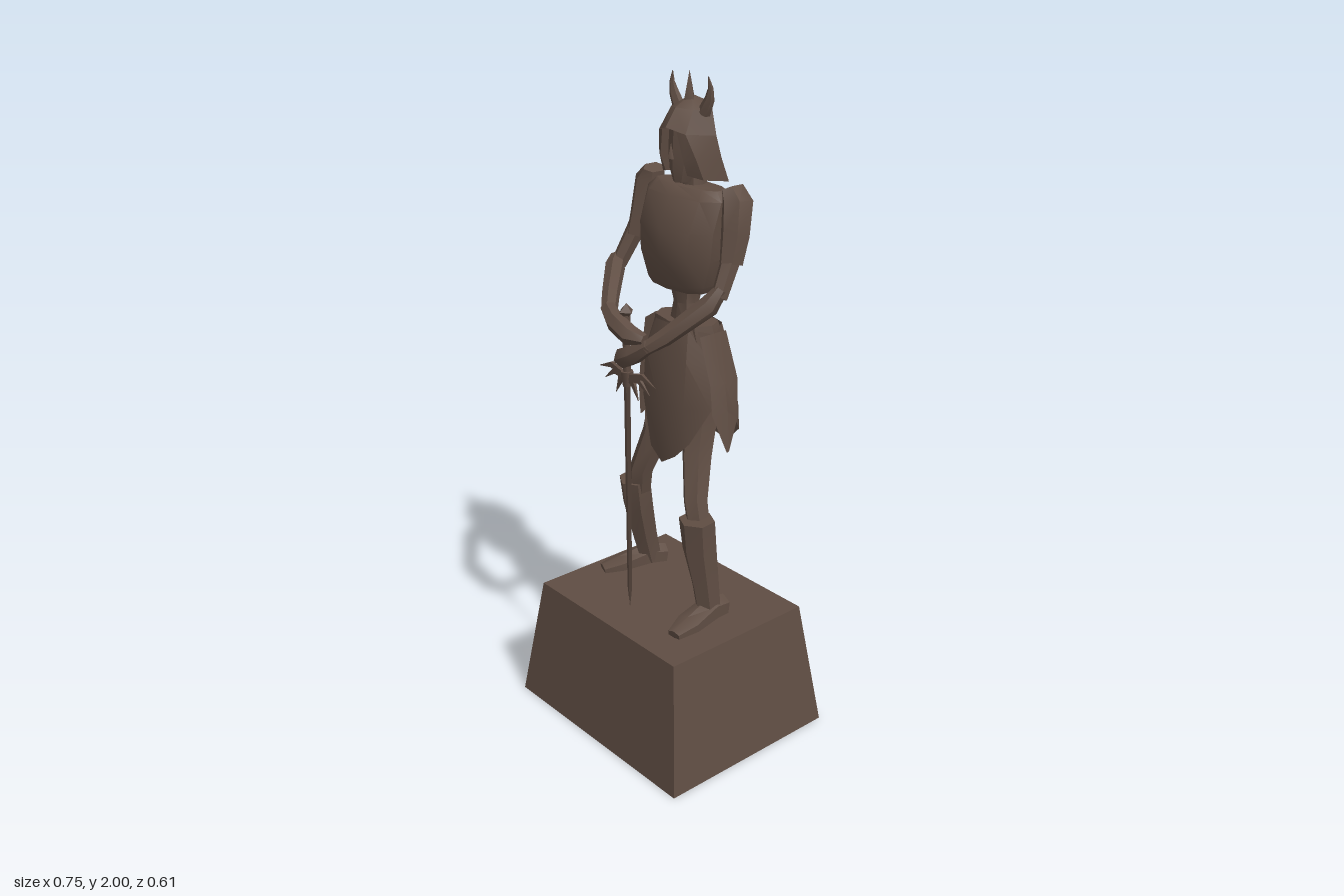
import * as THREE from 'three';
import { toCreasedNormals } from 'three/addons/utils/BufferGeometryUtils.js';

const bronze = new THREE.MeshStandardMaterial({ color: 0x5f4d43, side: THREE.DoubleSide });
bronze.name = 'dark bronze';

// Skin rows of points; closed rows wrap round, caps fill the two ends.
function loft(rows, closed = true, caps = [closed, closed], crease = 0.7) {
  const n = rows[0].length, pos = [];
  const tri = (a, b, c) => pos.push(...a, ...b, ...c);
  for (let r = 0; r < rows.length - 1; r++) {
    for (let i = 0; i < (closed ? n : n - 1); i++) {
      const j = (i + 1) % n, p = rows[r], q = rows[r + 1];
      tri(p[i], q[i], q[j]);
      tri(p[i], q[j], p[j]);
    }
  }
  [rows[0], rows[rows.length - 1]].forEach((row, k) => {
    if (!caps[k]) return;
    for (let i = 1; i < n - 1; i++) k ? tri(row[0], row[i + 1], row[i]) : tri(row[0], row[i], row[i + 1]);
  });
  const g = new THREE.BufferGeometry();
  g.setAttribute('position', new THREE.Float32BufferAttribute(pos, 3));
  return toCreasedNormals(g, crease);
}

// Horizontal oval ring: half width rx, depth from z0 (back) to z1 (front).
function oval(y, rx, z0, z1, n = 10, cx = 0, tilt = 0) {
  return Array.from({ length: n }, (_, i) => {
    const a = (i / n) * Math.PI * 2, s = Math.sin(a), c = Math.cos(a);
    return [cx + rx * Math.sign(s) * Math.abs(s) ** 0.75, y + tilt * c, (z0 + z1) / 2 + ((z1 - z0) / 2) * c];
  });
}

// Limb along points [x, y, z, radius across, radius deep].
function limb(pts, n = 6, ref = [0, 0, 1], floor = -1) {
  const v = pts.map(p => new THREE.Vector3(p[0], p[1], p[2]));
  return loft(pts.map((p, k) => {
    const t = v[Math.min(k + 1, v.length - 1)].clone().sub(v[Math.max(k - 1, 0)]).normalize();
    const u = t.clone().cross(new THREE.Vector3(...ref)).normalize();
    const w = t.clone().cross(u);
    return Array.from({ length: n }, (_, i) => {
      const a = ((i + 0.5) / n) * Math.PI * 2;
      const q = v[k].clone().addScaledVector(u, Math.cos(a) * p[3]).addScaledVector(w, Math.sin(a) * p[4]);
      return [q.x, Math.max(q.y, floor), q.z];
    });
  }));
}

const flip = rows => rows.map(r => r.map(([x, y, z]) => [-x, y, z]));
const mirrorRow = half => [...half.map(([x, y, z]) => [-x, y, z]).reverse(), ...half.slice(half[0][0] === 0 ? 1 : 0)];

export function createModel() {
  const model = new THREE.Group();
  const add = (name, geo, parent = model) => {
    const m = new THREE.Mesh(geo, bronze);
    m.name = name;
    parent.add(m);
    return m;
  };

  // Tapered pedestal, open underneath
  const rect = (y, x, z) => [[-x, y, z], [x, y, z], [x, y, -z], [-x, y, -z]];
  add('pedestal', loft([rect(0.4, 0.315, 0.255), rect(0, 0.375, 0.305)], true, [true, false], 0.2));

  // Torso armour, waist, pelvis and neck
  add('breastplate', loft([
    oval(1.69, 0.13, -0.125, -0.03), oval(1.665, 0.16, -0.155, 0.0), oval(1.58, 0.155, -0.155, 0.038),
    oval(1.5, 0.148, -0.15, 0.04), oval(1.42, 0.122, -0.115, 0.022), oval(1.4, 0.11, -0.105, 0.01),
  ]));
  add('waist', loft([oval(1.42, 0.055, -0.11, -0.02, 8), oval(1.35, 0.036, -0.1, -0.03, 8), oval(1.27, 0.055, -0.115, -0.02, 8)]));
  add('pelvis', loft([oval(1.3, 0.11, -0.13, 0.0, 8), oval(1.24, 0.125, -0.15, 0.0, 8), oval(1.08, 0.12, -0.14, 0.0, 8), oval(0.98, 0.06, -0.1, -0.02, 8)]));
  add('neck', loft([oval(1.78, 0.032, -0.12, -0.06, 8), oval(1.66, 0.04, -0.125, -0.05, 8)]));

  // Skirt: front and back shield-shaped panels, each defined by its half
  const frontRows = [
    [[0, 1.295, 0.0], [0.07, 1.29, -0.01], [0.13, 1.28, -0.06]],
    [[0, 1.2, 0.025], [0.09, 1.2, 0.015], [0.145, 1.18, -0.05]],
    [[0, 1.06, 0.042], [0.09, 1.06, 0.025], [0.15, 1.06, -0.03]],
    [[0, 0.865, 0.03], [0.055, 0.9, 0.025], [0.1, 0.95, 0.01]],
  ].map(mirrorRow);
  const backRows = [
    [[0, 1.29, -0.15], [0.07, 1.285, -0.14], [0.13, 1.28, -0.06]],
    [[0, 1.16, -0.178], [0.09, 1.16, -0.165], [0.15, 1.16, -0.085]],
    [[0, 1.02, -0.2], [0.1, 1.02, -0.185], [0.16, 1.03, -0.11]],
    [[0, 0.88, -0.212], [0.05, 0.9, -0.207], [0.11, 0.95, -0.18]],
  ].map(mirrorRow);
  add('skirtFront', loft(frontRows, false));
  add('skirtBack', loft(backRows, false));
  const flapRows = [
    [[0.12, 1.28, -0.01], [0.13, 1.285, -0.06], [0.12, 1.28, -0.11]],
    [[0.155, 1.14, -0.02], [0.168, 1.14, -0.065], [0.15, 1.14, -0.13]],
    [[0.165, 1.05, -0.02], [0.187, 1.06, -0.06], [0.165, 1.02, -0.12]],
    [[0.195, 0.94, -0.05], [0.196, 0.938, -0.055], [0.195, 0.94, -0.06]],
  ];
  add('leftSkirtFlap', loft(flapRows, false));
  add('rightSkirtFlap', loft(flip(flapRows), false));

  // Legs: the right one stands further back with the foot turned out
  const legs = {
    left: {
      thigh: [[0.075, 1.05, -0.06, 0.05, 0.06], [0.09, 0.9, -0.03, 0.042, 0.05], [0.13, 0.78, 0.01, 0.035, 0.04], [0.15, 0.7, 0.015, 0.035, 0.035]],
      greave: [[0.158, 0.735, 0.03, 0.06, 0.05], [0.162, 0.64, 0.022, 0.054, 0.052], [0.178, 0.52, 0.01, 0.04, 0.045], [0.184, 0.42, 0.0, 0.036, 0.04]],
      foot: [[0.18, 0.425, -0.055, 0.035, 0.035], [0.186, 0.435, 0.0, 0.04, 0.04], [0.193, 0.42, 0.09, 0.045, 0.025], [0.2, 0.41, 0.155, 0.025, 0.014]],
    },
    right: {
      thigh: [[-0.085, 1.05, -0.07, 0.05, 0.06], [-0.12, 0.9, -0.05, 0.04, 0.05], [-0.15, 0.78, -0.015, 0.035, 0.04], [-0.17, 0.7, -0.025, 0.035, 0.035]],
      greave: [[-0.183, 0.735, -0.015, 0.052, 0.05], [-0.186, 0.64, -0.03, 0.05, 0.05], [-0.196, 0.52, -0.065, 0.038, 0.045], [-0.195, 0.42, -0.09, 0.033, 0.04]],
      foot: [[-0.185, 0.425, -0.135, 0.034, 0.034], [-0.2, 0.435, -0.08, 0.038, 0.038], [-0.232, 0.42, 0.01, 0.042, 0.024], [-0.252, 0.41, 0.065, 0.026, 0.014]],
    },
  };
  for (const [side, leg] of Object.entries(legs)) {
    add(side + 'Thigh', limb(leg.thigh));
    add(side + 'Greave', limb(leg.greave));
    add(side + 'Foot', limb(leg.foot, 6, [0, 1, 0], 0.4));
  }

  // Arms meet in front, the right hand above the left
  const arms = {
    left: {
      upper: [[0.185, 1.62, -0.085, 0.03, 0.03], [0.2, 1.52, -0.05, 0.027, 0.03], [0.207, 1.42, 0.0, 0.023, 0.025]],
      fore: [[0.212, 1.445, -0.005, 0.018, 0.02], [0.195, 1.4, 0.025, 0.03, 0.03], [0.12, 1.31, 0.12, 0.025, 0.025], [0.08, 1.275, 0.155, 0.02, 0.022]],
      hand: [[0.09, 1.285, 0.15, 0.02, 0.022], [0.04, 1.25, 0.165, 0.03, 0.03], [0.0, 1.23, 0.165, 0.032, 0.035], [-0.03, 1.215, 0.16, 0.018, 0.02]],
    },
    right: {
      upper: [[-0.185, 1.62, -0.085, 0.03, 0.03], [-0.21, 1.52, -0.05, 0.027, 0.03], [-0.23, 1.42, 0.0, 0.023, 0.025]],
      fore: [[-0.242, 1.44, -0.005, 0.018, 0.02], [-0.22, 1.42, 0.02, 0.028, 0.03], [-0.13, 1.37, 0.11, 0.025, 0.026], [-0.08, 1.345, 0.155, 0.02, 0.024]],
      hand: [[-0.09, 1.35, 0.15, 0.022, 0.024], [-0.035, 1.33, 0.172, 0.03, 0.028], [0.03, 1.305, 0.172, 0.03, 0.03], [0.075, 1.3, 0.155, 0.015, 0.02]],
    },
  };
  for (const [side, arm] of Object.entries(arms)) {
    const s = side === 'left' ? 1 : -1;
    add(side + 'UpperArm', limb(arm.upper));
    add(side + 'Forearm', limb(arm.fore));
    add(side + 'Hand', limb(arm.hand));
    add(side + 'Pauldron', limb([[s * 0.165, 1.705, -0.085, 0.022, 0.04], [s * 0.185, 1.67, -0.085, 0.04, 0.05],
      [s * 0.193, 1.58, -0.07, 0.038, 0.045], [s * 0.2, 1.505, -0.05, 0.03, 0.038]]));
  }

  // Head: open-faced helmet with a flared neck guard
  const helmet = new THREE.Group();
  helmet.name = 'helmet';
  model.add(helmet);
  const dome = [
    [[0, 1.935, -0.08], [0, 1.935, -0.08], [0, 1.935, -0.08], [0, 1.935, -0.08]],
    [[0, 1.905, -0.022], [0.045, 1.9, -0.045], [0.062, 1.9, -0.1], [0, 1.91, -0.14]],
    [[0, 1.855, 0.014], [0.055, 1.84, -0.01], [0.08, 1.83, -0.1], [0, 1.82, -0.168]],
  ].map(([f, a, b, r]) => [f, a, b, r, [-b[0], b[1], b[2]], [-a[0], a[1], a[2]]]);
  add('dome', loft(dome, true, [false, false]), helmet);
  const guard = [
    [[0, 1.82, -0.168], [0.08, 1.83, -0.1], [0.055, 1.84, -0.01], [0.03, 1.845, 0.0]],
    [[0, 1.76, -0.175], [0.085, 1.77, -0.115], [0.078, 1.77, -0.03], [0.047, 1.77, -0.008]],
    [[0, 1.68, -0.19], [0.09, 1.7, -0.14], [0.085, 1.715, -0.05], [0.045, 1.725, -0.025]],
  ].map(mirrorRow);
  add('cheekAndNeckGuard', loft(guard, false), helmet);
  add('face', loft([oval(1.85, 0.045, -0.12, -0.015, 8), oval(1.79, 0.048, -0.12, -0.012, 8), oval(1.735, 0.036, -0.1, -0.012, 8), oval(1.7, 0.022, -0.08, -0.02, 8)]));
  const nose = new THREE.ConeGeometry(0.011, 0.045, 4);
  add('nose', nose.translate(0, 1.79, -0.006));
  for (const s of [-1, 1]) {
    add('horn', limb([[s * 0.05, 1.89, -0.08, 0.02, 0.018], [s * 0.073, 1.93, -0.08, 0.015, 0.013],
      [s * 0.079, 1.96, -0.078, 0.008, 0.007], [s * 0.073, 1.99, -0.075, 0.001, 0.001]]), helmet);
  }
  add('crestSpike', new THREE.ConeGeometry(0.027, 0.11, 4).translate(0, 1.945, -0.072), helmet);

  // Sword resting point down under the hands
  const sword = new THREE.Group();
  sword.name = 'sword';
  sword.position.set(-0.01, 0, 0.15);
  model.add(sword);
  const blade = (y, w, d) => [[-w, y, 0], [0, y, d], [w, y, 0], [0, y, -d]];
  add('blade', loft([blade(1.17, 0.015, 0.004), blade(0.48, 0.011, 0.003), blade(0.415, 0.001, 0.001)], true, [true, true], 0.2), sword);
  add('grip', new THREE.CylinderGeometry(0.012, 0.012, 0.2, 6).translate(0, 1.25, 0), sword);
  add('pommel', new THREE.OctahedronGeometry(0.024).translate(0, 1.36, 0), sword);
  add('collar', new THREE.CylinderGeometry(0.02, 0.014, 0.045, 6).translate(0, 1.16, 0), sword);
  const spikes = [[0.125, 1.165], [0.1, 1.135], [0.05, 1.105]];
  for (const s of [-1, 1]) for (const [x, y] of spikes) {
    add('guardSpike', limb([[0, 1.165, 0, 0.012, 0.01], [s * x * 0.55, (1.185 + y) / 2 + 0.008, 0, 0.012, 0.007],
      [s * x, y, 0, 0.001, 0.001]], 4), sword);
  }
  return model;
}
